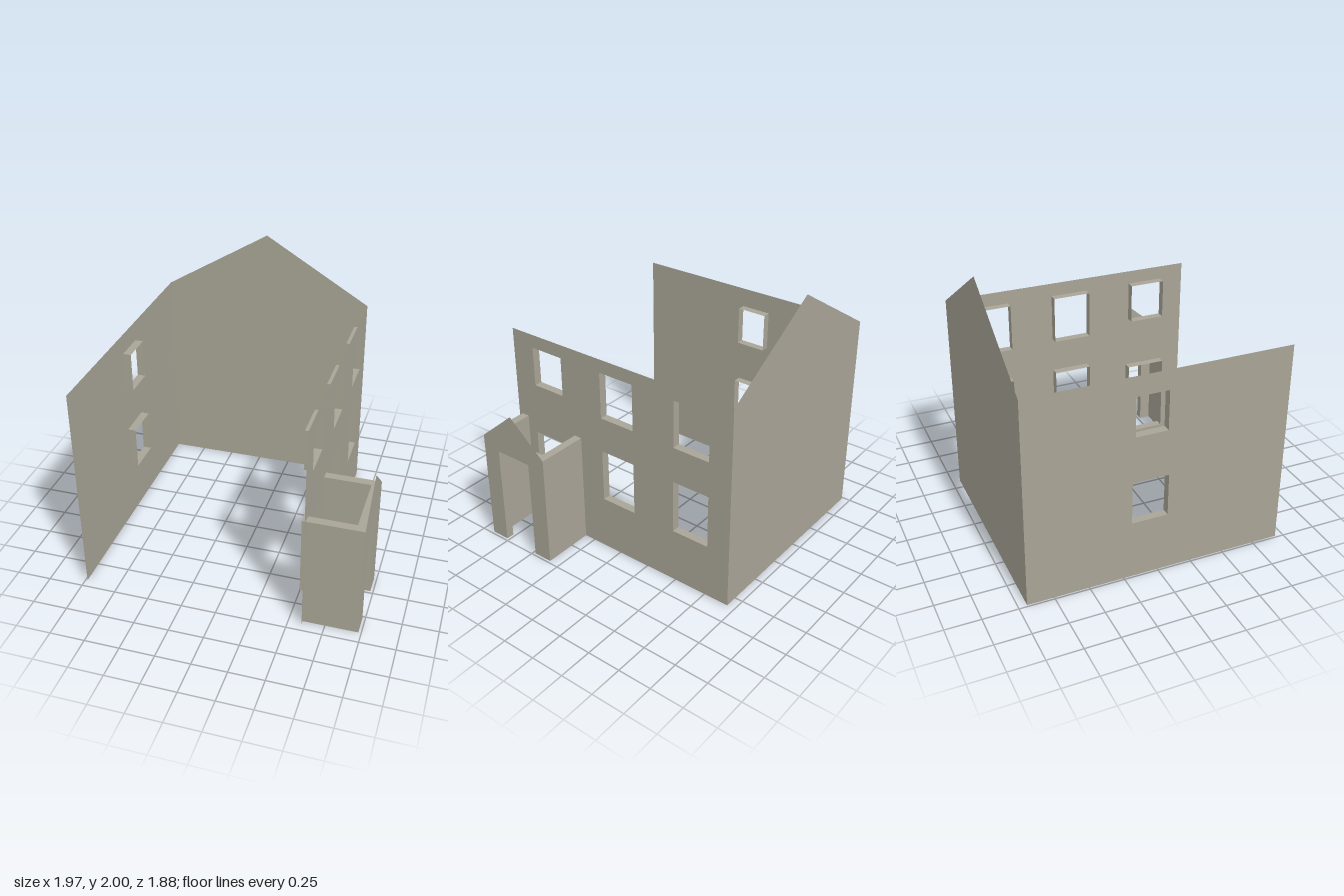
import * as THREE from 'three';

const stone = new THREE.MeshStandardMaterial({ color: 0xa8a496, side: THREE.DoubleSide });
stone.name = 'stone';

const REVEAL = 0.06; // depth of window and door reveals

function polygon(points) {
  return new THREE.Shape(points.map(([a, b]) => new THREE.Vector2(a, b)));
}

function add(parent, name, geometry, x = 0, y = 0, z = 0) {
  const mesh = new THREE.Mesh(geometry, stone);
  mesh.name = name;
  mesh.position.set(x, y, z);
  parent.add(mesh);
  return mesh;
}

// Turns a shape drawn in (z, y) to stand in a plane of constant x
const toSide = (geometry) => geometry.rotateY(-Math.PI / 2);

// Thin side wall with openings [z0, z1, y0, y1], each lined by four reveals
function sideWall(name, x, inward, openings) {
  const wall = new THREE.Group();
  wall.name = name;
  const shape = polygon([[-0.94, 0], [0.94, 0], [0.94, 1.525], [-0.94, 1.525]]);
  const midX = x + inward * REVEAL / 2;
  for (const [z0, z1, y0, y1] of openings) {
    shape.holes.push(polygon([[z0, y0], [z0, y1], [z1, y1], [z1, y0]]));
    const w = z1 - z0, h = y1 - y0, zc = (z0 + z1) / 2, yc = (y0 + y1) / 2;
    for (const [y, turn, part] of [[y0, -1, 'sill'], [y1, 1, 'lintel']])
      add(wall, part, new THREE.PlaneGeometry(REVEAL, w).rotateX(turn * Math.PI / 2), midX, y, zc);
    for (const [z, turn] of [[z0, 0], [z1, Math.PI]])
      add(wall, 'jamb', new THREE.PlaneGeometry(REVEAL, h).rotateY(turn), midX, yc, z);
  }
  add(wall, name + 'Face', toSide(new THREE.ShapeGeometry(shape)), x);
  return wall;
}

function porch() {
  const group = new THREE.Group();
  group.name = 'porch';
  const z0 = 0.335, z1 = 0.91, eaves = 0.845, outer = 0.98, wallX = 0.595;
  // Side walls
  const length = outer - REVEAL - wallX;
  for (const z of [z0 + REVEAL / 2, z1 - REVEAL / 2])
    add(group, 'porchSide', new THREE.BoxGeometry(length, eaves, REVEAL), wallX + length / 2, eaves / 2, z);
  // Front wall with doorway
  const front = polygon([[z0, 0], [0.48, 0], [0.48, 0.76], [0.77, 0.76],
    [0.77, 0], [z1, 0], [z1, eaves], [z0, eaves]]);
  add(group, 'porchFront', toSide(new THREE.ExtrudeGeometry(front, { depth: REVEAL, bevelEnabled: false })), outer);
  // Thin gable above the front
  const gable = polygon([[z0, eaves], [z1, eaves], [(z0 + z1) / 2, 1.09]]);
  add(group, 'porchGable', toSide(new THREE.ShapeGeometry(gable)), outer);
  return group;
}

export function createModel() {
  const house = new THREE.Group();
  house.name = 'house';

  // Back gable wall
  const back = polygon([[-0.985, 0], [0.595, 0], [0.595, 1.525], [-0.195, 2], [-0.985, 1.525]]);
  add(house, 'backGable', new THREE.ShapeGeometry(back), 0, 0, -0.94);

  // Wall on the model's left, with the doorway and five windows
  house.add(sideWall('leftWall', 0.595, -1, [
    [0.475, 0.77, 0.145, 0.735],
    [0.49, 0.755, 1.13, 1.425],
    [-0.14, 0.14, 0.41, 0.81],
    [-0.14, 0.14, 1.075, 1.425],
    [-0.765, -0.48, 0.41, 0.81],
    [-0.765, -0.48, 1.075, 1.425],
  ]));

  // Wall on the model's right, with two windows
  house.add(sideWall('rightWall', -0.985, 1, [
    [-0.195, 0.065, 0.435, 0.75],
    [-0.18, 0.05, 1.09, 1.38],
  ]));

  house.add(porch());
  return house;
}
